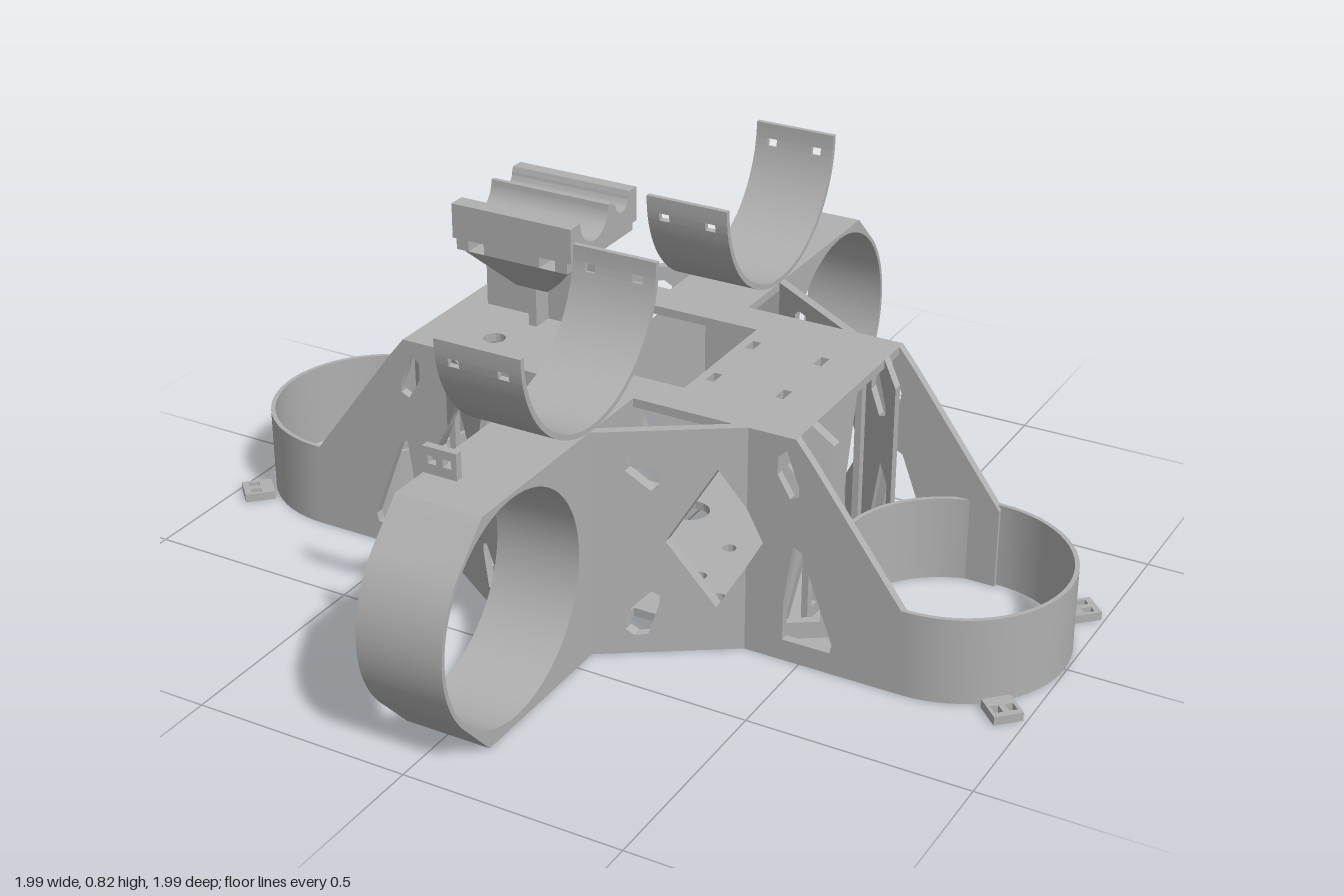
import * as THREE from 'three';
import { toCreasedNormals } from 'three/addons/utils/BufferGeometryUtils.js';

const grey = new THREE.MeshStandardMaterial({ color: 0xb0b0b0 });
grey.name = 'grey plastic';

const rad = THREE.MathUtils.degToRad;
const poly = (pts) => new THREE.Shape(pts.map(([a, b]) => new THREE.Vector2(a, b)));
const rect = (x, y, w, h) => poly([[x - w / 2, y - h / 2], [x + w / 2, y - h / 2], [x + w / 2, y + h / 2], [x - w / 2, y + h / 2]]);
const circle = (x, y, r) => new THREE.Shape().absarc(x, y, r, 0, Math.PI * 2, false);
const withHoles = (shape, holes) => { shape.holes.push(...holes); return shape; };
// points along an arc, angles in degrees
const arcPts = (cx, cy, r, a0, a1, n = 32) => Array.from({ length: n + 1 }, (_, i) => {
  const a = rad(a0 + (a1 - a0) * i / n);
  return [cx + r * Math.cos(a), cy + r * Math.sin(a)];
});

const extrude = (shape, depth) => new THREE.ExtrudeGeometry(shape, { depth, bevelEnabled: false, curveSegments: 32 });
// horizontal plate drawn in x,z
const flat = (shape, y0, y1) => extrude(shape, y1 - y0).rotateX(Math.PI / 2).translate(0, y1, 0);
// profile drawn in z,y and extruded from x0 to x1
const across = (shape, x0, x1) => extrude(shape, x1 - x0).rotateY(-Math.PI / 2).translate(x1, 0, 0);
const box = (x0, x1, y0, y1, z0, z1) => new THREE.BoxGeometry(x1 - x0, y1 - y0, z1 - z0)
  .translate((x0 + x1) / 2, (y0 + y1) / 2, (z0 + z1) / 2);

// mirrored copy with the corner order kept outward
function mirror(geo, sx, sz) {
  const g = geo.index ? geo.toNonIndexed() : geo.clone();
  g.scale(sx, 1, sz);
  if (sx * sz < 0) {
    const p = g.attributes.position;
    const b = new THREE.Vector3(), c = new THREE.Vector3();
    for (let i = 0; i < p.count; i += 3) {
      b.fromBufferAttribute(p, i + 1);
      c.fromBufferAttribute(p, i + 2);
      p.setXYZ(i + 1, c.x, c.y, c.z);
      p.setXYZ(i + 2, b.x, b.y, b.z);
    }
  }
  return g;
}

export function createModel() {
  const model = new THREE.Group();
  model.name = 'thrusterFrame';
  const add = (name, geo) => {
    const g = geo.index ? geo.toNonIndexed() : geo;
    g.computeVertexNormals();
    const mesh = new THREE.Mesh(toCreasedNormals(g, rad(30)), grey);
    mesh.name = name;
    model.add(mesh);
  };
  const ends = (name, geo) => [1, -1].forEach((s) => add(name, mirror(geo, s, 1)));
  const sides = (name, geo) => [1, -1].forEach((s) => add(name, mirror(geo, 1, s)));
  const corners = (name, geo) => [1, -1].forEach((s) => [1, -1].forEach((t) => add(name, mirror(geo, s, t))));

  // base plate, scooped out around the two upright thruster rings
  const base = poly([
    [-0.735, -0.26], [0.735, -0.26], ...arcPts(0.735, 0, 0.25, 270, 90),
    [0.735, 0.26], [-0.735, 0.26], ...arcPts(-0.735, 0, 0.25, 90, -90),
  ]);
  const baseHoles = [circle(0, 0.18, 0.045), circle(0, -0.18, 0.045)];
  for (const s of [1, -1]) {
    for (const [x, z] of [[0.16, 0.07], [0.24, 0.13], [0.34, 0.09]]) {
      baseHoles.push(circle(s * x, z, 0.016), circle(s * x, -z, 0.016));
    }
    baseHoles.push(circle(s * 0.3, 0, 0.02));
  }
  add('basePlate', flat(withHoles(base, baseHoles), 0, 0.02));

  // top plate with well, cable holes and strap slots
  const deck = poly([[-0.48, -0.26], [0.48, -0.26], [0.48, 0.26], [-0.48, 0.26]]);
  const deckHoles = [rect(0.035, 0, 0.27, 0.33), circle(-0.31, 0.155, 0.025), circle(-0.31, -0.155, 0.025)];
  for (const x of [0.2, 0.365]) for (const z of [0.09, -0.09]) deckHoles.push(rect(x, z, 0.02, 0.04));
  add('topPlate', flat(withHoles(deck, deckHoles), 0.51, 0.53));

  // upright thruster rings
  ends('uprightRing', flat(withHoles(circle(0.735, 0, 0.26), [circle(0.735, 0, 0.25)]), 0, 0.2));

  // little ring tabs set at 45 degrees
  const tab = flat(withHoles(rect(0, 0, 0.07, 0.065), [rect(0.008, 0.016, 0.025, 0.018), rect(0.008, -0.016, 0.025, 0.018)]), 0, 0.02);
  corners('ringTab', tab.rotateY(-Math.PI / 4).translate(0.945, 0, 0.222));

  // cut-outs shared by the walls and braces
  const upperHole = () => poly([[0.44, 0.48], [0.46, 0.5], [0.49, 0.42], [0.49, 0.4], [0.47, 0.39], [0.44, 0.44]]);

  // sloping side walls
  const wall = poly([[0.35, 0], [0.735, 0], [0.735, 0.19], [0.52, 0.48], [0.48, 0.53], [0.35, 0.53], [0.35, 0.38], [0.41, 0.27], [0.35, 0.16]]);
  withHoles(wall, [upperHole(), poly([[0.46, 0.05], [0.57, 0.05], [0.575, 0.07], [0.5, 0.27], [0.48, 0.28], [0.46, 0.14]])]);
  corners('sideWall', extrude(wall, 0.02).translate(0, 0, 0.24));

  // diagonal braces: drawn in front elevation, then sheared inward
  const brace = poly([[0.1, 0], [0.52, 0], [0.52, 0.48], [0.48, 0.53], [0.1, 0.53]]);
  withHoles(brace, [
    poly([[0.23, 0.27], [0.32, 0.105], [0.41, 0.27], [0.32, 0.435]]),
    poly([[0.16, 0.48], [0.175, 0.495], [0.2, 0.495], [0.22, 0.42], [0.22, 0.4], [0.205, 0.39], [0.16, 0.44]]),
    poly([[0.16, 0.1], [0.205, 0.15], [0.22, 0.14], [0.22, 0.12], [0.2, 0.045], [0.175, 0.045], [0.16, 0.06]]),
    upperHole(),
    poly([[0.44, 0.06], [0.505, 0.06], [0.505, 0.24], [0.48, 0.28]]),
  ]);
  const braceGeo = extrude(brace, 0.024);
  const p = braceGeo.attributes.position;
  for (let i = 0; i < p.count; i++) p.setZ(i, p.getZ(i) + 0.415 - 0.66 * (p.getX(i) - 0.1));
  corners('diagonalBrace', braceGeo);

  // inner end frames with triangular windows
  const frame = withHoles(rect(0, 0.265, 0.26, 0.49), [1, -1].map((s) =>
    poly([[s * 0.11, 0.05], [s * 0.11, 0.48], [s * 0.085, 0.48], [s * 0.035, 0.265], [s * 0.085, 0.05]])));
  ends('endFrame', across(frame, 0.44, 0.455));

  // front and back thruster housings
  const housing = poly([
    [0.43, 0], [0.84, 0], ...arcPts(0.735, 0.27, 0.26, -42, 42), [0.84, 0.53], [0.43, 0.53],
  ]);
  sides('thrusterHousing', across(withHoles(housing, [circle(0.735, 0.27, 0.25)]), -0.1, 0.1));
  for (const y of [0, 0.51]) sides('housingBridge', box(-0.1, 0.1, y, y + 0.02, 0.26, 0.43));

  // upright tab on each housing
  const lug = withHoles(rect(-0.06, 0.555, 0.08, 0.07), [rect(-0.078, 0.562, 0.02, 0.018), rect(-0.042, 0.562, 0.02, 0.018)]);
  sides('housingTab', extrude(lug, 0.018).translate(0, 0, 0.726));

  // half-round cradles, split around their strap slots
  const cradlePart = (a0, a1, x0, x1) => {
    const n = Math.max(2, Math.ceil((a1 - a0) / 4));
    const shape = poly([...arcPts(0.42, 0.8, 0.27, a0, a1, n), ...arcPts(0.42, 0.8, 0.258, a1, a0, n)]);
    sides('cradle', across(shape, x0, x1));
  };
  cradlePart(180, 188, -0.1, 0.1);
  cradlePart(192, 348, -0.1, 0.1);
  cradlePart(352, 360, -0.1, 0.1);
  for (const a of [188, 348]) {
    for (const [x0, x1] of [[-0.1, -0.07], [-0.045, 0.045], [0.07, 0.1]]) cradlePart(a, a + 4, x0, x1);
  }

  // cross-shaped mast
  add('mastPlate', box(-0.42, -0.12, 0.02, 0.715, -0.01, 0.01));
  add('mastRib', box(-0.28, -0.26, 0.53, 0.64, -0.06, 0.06));
  add('mastLowerRib', box(-0.28, -0.26, 0.02, 0.53, -0.035, 0.035));

  // flared block under the mast head
  const flare = box(-0.12, 0.12, 0.62, 0.715, -0.14, 0.14);
  const f = flare.attributes.position;
  for (let i = 0; i < f.count; i++) {
    if (f.getY(i) < 0.65) f.setXYZ(i, f.getX(i) * 0.33, f.getY(i), f.getZ(i) * 0.43);
  }
  add('mastFlare', flare.translate(-0.27, 0, 0));

  // mast head with two long grooves, and a slotted layer beneath
  const head = poly([
    [-0.14, 0.74], [0.14, 0.74], [0.14, 0.82], [0.1, 0.82], ...arcPts(0.04, 0.82, 0.06, 0, -180, 20),
    [-0.03, 0.82], [-0.045, 0.81], ...arcPts(-0.077, 0.81, 0.028, 0, -180, 16), [-0.11, 0.82], [-0.14, 0.82],
  ]);
  add('mastHead', across(head, -0.42, -0.12));
  for (const [x0, x1] of [[-0.41, -0.38], [-0.34, -0.2], [-0.16, -0.13]]) {
    add('mastHeadFoot', box(x0, x1, 0.715, 0.74, -0.14, 0.14));
  }
  return model;
}
